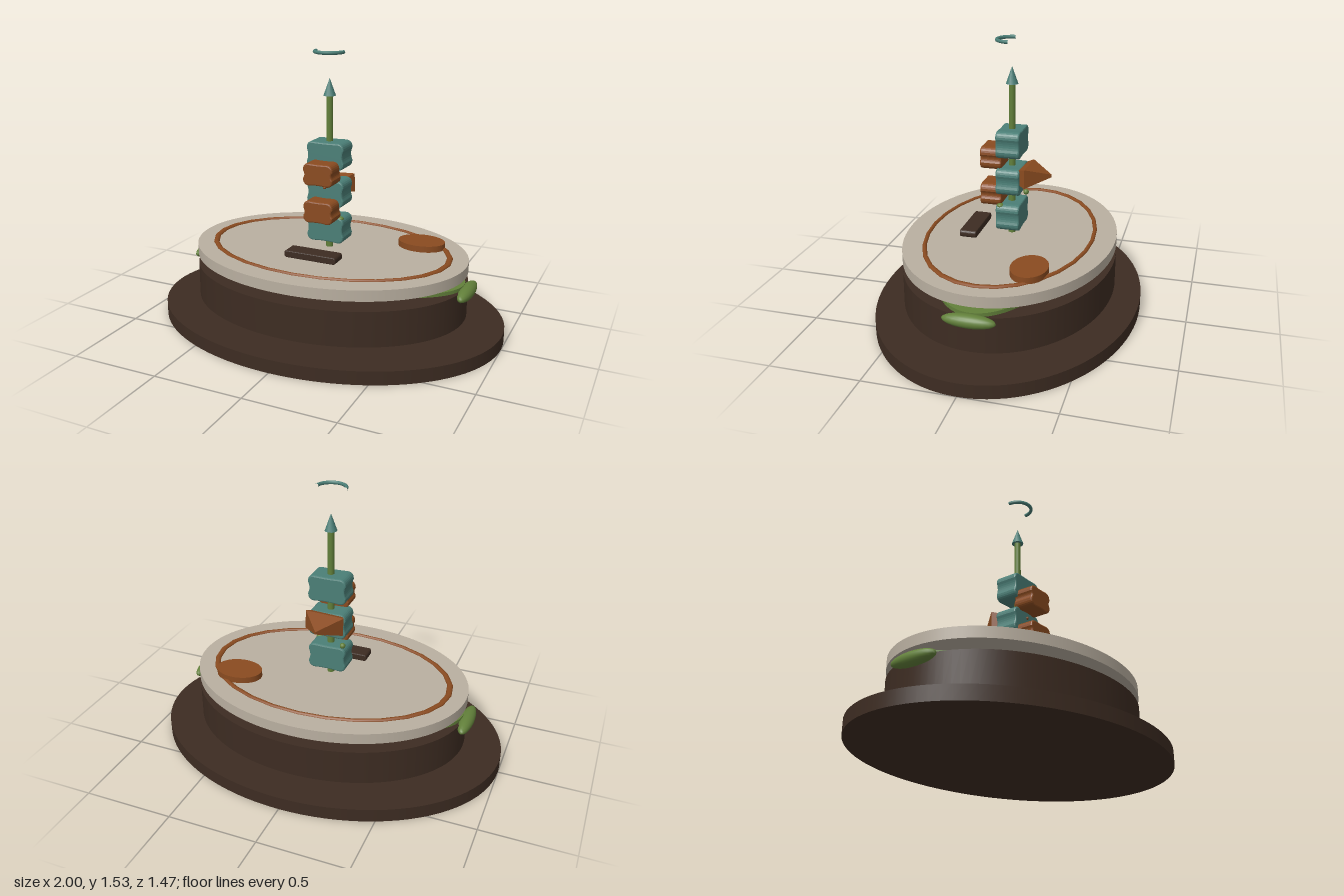
import * as THREE from 'three';

const paint = (name, color) => {
  const m = new THREE.MeshStandardMaterial({ color });
  m.name = name;
  return m;
};

export function createModel() {
  const darkWood = paint('dark wood', 0x3d2c22);
  const stone = paint('pale stone', 0xb9afa0);
  const rust = paint('rust orange', 0x8a4b20);
  const teal = paint('teal', 0x4b7f77);
  const moss = paint('moss green', 0x62803a);

  const model = new THREE.Group();
  model.name = 'totemOnPlinth';

  const add = (name, geometry, material, x = 0, y = 0, z = 0) => {
    const mesh = new THREE.Mesh(geometry, material);
    mesh.name = name;
    mesh.position.set(x, y, z);
    model.add(mesh);
    return mesh;
  };

  // Oval disc from y0 to y1
  const oval = (name, material, rx, rz, y0, y1, x = 0, z = 0, segments = 96) =>
    add(name, new THREE.CylinderGeometry(1, 1, y1 - y0, segments).scale(rx, 1, rz), material, x, (y0 + y1) / 2, z);

  // Block with soft corners and slightly pinched sides, extruded along z
  const pinchedBlock = (w, h, d, r = 0.03, pinch = 0.008, bevel = 0.008) => {
    const a = w / 2 - bevel, b = h / 2 - bevel;
    const s = new THREE.Shape();
    s.moveTo(-a + r, -b);
    s.quadraticCurveTo(0, -b + pinch, a - r, -b);
    s.quadraticCurveTo(a, -b, a, -b + r);
    s.quadraticCurveTo(a - pinch * 2, 0, a, b - r);
    s.quadraticCurveTo(a, b, a - r, b);
    s.quadraticCurveTo(0, b - pinch / 2, -a + r, b);
    s.quadraticCurveTo(-a, b, -a, b - r);
    s.quadraticCurveTo(-a + pinch * 2, 0, -a, -b + r);
    s.quadraticCurveTo(-a, -b, -a + r, -b);
    const g = new THREE.ExtrudeGeometry(s, {
      depth: d - 2 * bevel, bevelEnabled: true, bevelSize: bevel,
      bevelThickness: bevel, bevelSegments: 2, curveSegments: 6,
    });
    return g.translate(0, 0, -d / 2 + bevel);
  };

  // Plinth layers
  oval('base', darkWood, 1, 0.735, 0, 0.075);
  oval('drum', darkWood, 0.79, 0.585, 0.12, 0.315);
  oval('topSlab', stone, 0.79, 0.585, 0.37, 0.43);

  // Moss layer on the drum, with a clump at each side
  oval('mossLayer', moss, 0.785, 0.35, 0.313, 0.335);
  for (const side of [-1, 1]) {
    add('mossClump', new THREE.SphereGeometry(1, 20, 12).scale(0.04, 0.036, 0.14), moss, side * 0.803, 0.3, 0);
  }

  // Inlaid ring, round plate and small step on the slab
  add('inlayRing', new THREE.TorusGeometry(0.69, 0.018, 8, 28)
    .rotateX(Math.PI / 2).scale(1, 0.7, 0.667), rust, 0, 0.428, 0);
  oval('roundPlate', rust, 0.133, 0.098, 0.43, 0.465, 0.47, -0.22, 40);
  add('step', pinchedBlock(0.305, 0.04, 0.095, 0.012, 0, 0.005), darkWood, 0, 0.453, 0.215);

  // Pole and spear tip
  add('pole', new THREE.CylinderGeometry(0.018, 0.02, 0.86, 12), moss, 0, 0.865, 0);
  add('tip', new THREE.ConeGeometry(0.034, 0.095, 12), teal, 0, 1.337, 0);

  // Stacked totem blocks
  for (const y of [0.553, 0.76, 0.969]) {
    add('totemBlock', pinchedBlock(0.22, 0.15, 0.132), teal, 0, y, 0);
  }
  for (const y of [0.673, 0.883]) {
    add('faceBlock', pinchedBlock(0.175, 0.124, 0.12), rust, 0, y, 0.1);
  }

  // Wedge pointing backwards: [z, half width, half height] rings
  const rings = [[-0.055, 0.085, 0.04], [-0.097, 0.11, 0.053], [-0.222, 0.002, 0.008]];
  const points = [], index = [];
  for (const [z, w, h] of rings) points.push(-w, -h, z, w, -h, z, w, h, z, -w, h, z);
  for (let r = 0; r < 2; r++) {
    for (let i = 0; i < 4; i++) {
      const a = r * 4 + i, b = r * 4 + (i + 1) % 4;
      index.push(a, a + 4, b, b, a + 4, b + 4);
    }
  }
  index.push(0, 1, 2, 0, 2, 3, 8, 10, 9, 8, 11, 10);
  let wedge = new THREE.BufferGeometry();
  wedge.setAttribute('position', new THREE.Float32BufferAttribute(points, 3));
  wedge.setIndex(index);
  wedge = wedge.toNonIndexed();
  wedge.computeVertexNormals();
  add('backWedge', wedge, rust, 0, 0.788, 0).rotation.z = 0.04;

  // Small beads and front stud
  add('bead', new THREE.SphereGeometry(0.02, 12, 8).scale(1, 0.65, 1), moss, 0.085, 0.62, 0.045);
  add('bead', new THREE.SphereGeometry(0.016, 12, 8), moss, -0.092, 0.645, -0.057);
  add('stud', new THREE.SphereGeometry(0.009, 10, 8), rust, 0, 0.793, 0.066);

  // Floating crescent above the tip
  add('crescent', new THREE.TorusGeometry(0.08, 0.01, 8, 24, Math.PI).rotateX(Math.PI / 2), teal, 0, 1.525, 0);

  return model;
}
